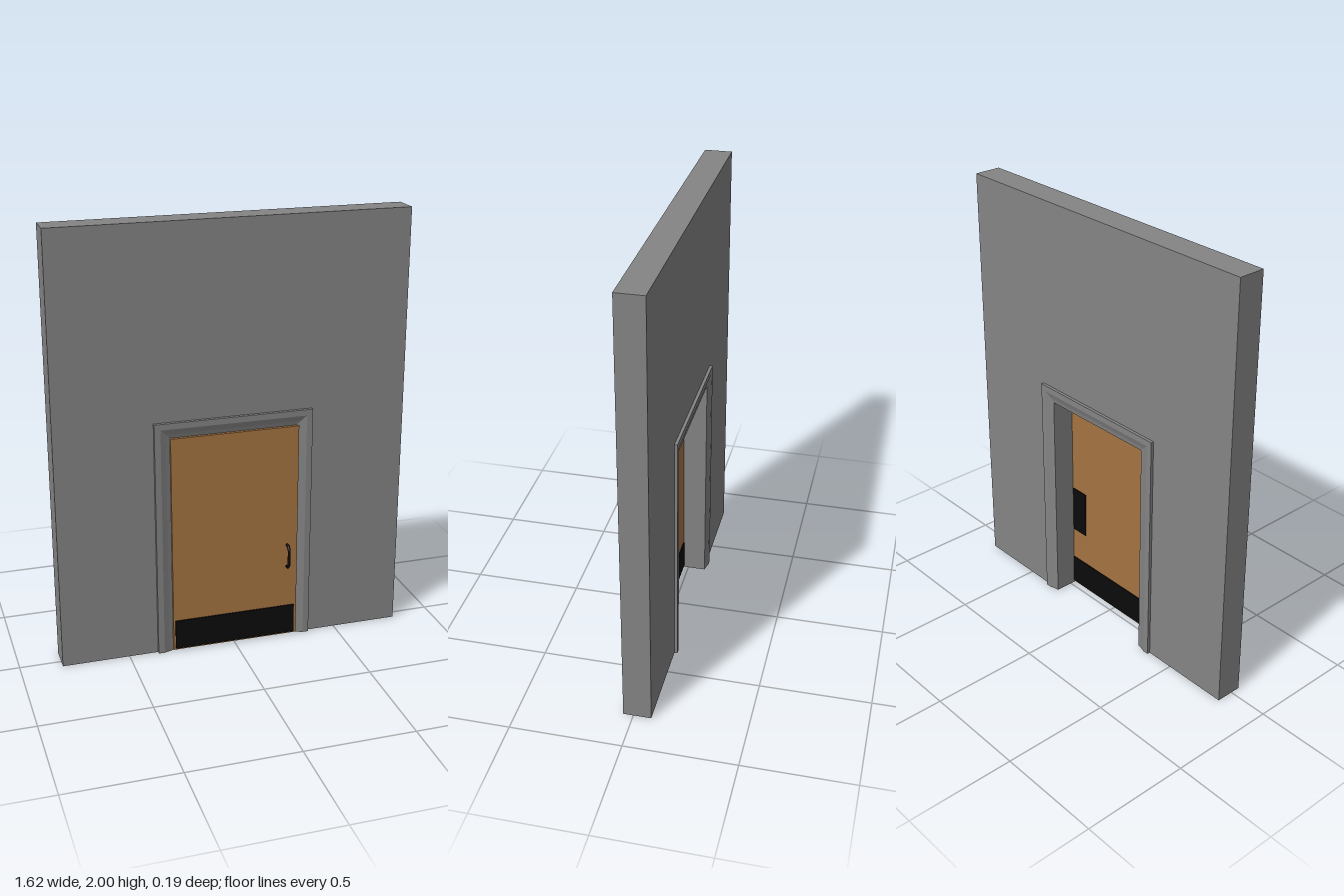
import * as THREE from 'three';

const paint = (name, color) => {
  const m = new THREE.MeshStandardMaterial({ color });
  m.name = name;
  return m;
};

export function createModel() {
  const root = new THREE.Group();
  root.name = 'doorInWall';
  const grey = paint('grey plaster', 0x848484);
  const wood = paint('brown wood', 0xa47341);
  const black = paint('black metal', 0x0b0b0b);

  const add = (name, geometry, material) => {
    const mesh = new THREE.Mesh(geometry, material);
    mesh.name = name;
    root.add(mesh);
    return mesh;
  };
  // Box given by its limits on each axis
  const slab = (name, x0, x1, y0, y1, z0, z1, material) =>
    add(name, new THREE.BoxGeometry(x1 - x0, y1 - y0, z1 - z0), material)
      .position.set((x0 + x1) / 2, (y0 + y1) / 2, (z0 + z1) / 2);

  // Opening half width and height
  const W = 0.293, H = 1.047;

  // Wall with a notch for the doorway, hidden behind the casing
  const outline = new THREE.Shape([
    [-0.81, 0], [-W - 0.01, 0], [-W - 0.01, H + 0.01], [W + 0.01, H + 0.01],
    [W + 0.01, 0], [0.81, 0], [0.81, 2], [-0.81, 2],
  ].map(([x, y]) => new THREE.Vector2(x, y)));
  const wall = new THREE.ExtrudeGeometry(outline, { depth: 0.125, bevelEnabled: false });
  wall.translate(0, 0, -0.08);
  add('wall', wall, grey);

  // Casing section: distance out from the opening, then z
  const section = [
    [0, -0.083], [0.02, -0.086], [0.045, -0.094], [0.073, -0.094],
    [0.073, 0.061], [0.045, 0.061], [0.02, 0.052], [0, 0.046],
  ];
  const extrude = (points) => new THREE.ExtrudeGeometry(
    new THREE.Shape(points.map(([a, b]) => new THREE.Vector2(a, b))),
    { depth: 1, bevelEnabled: false });

  // Side jambs, mitred at the top
  for (const s of [-1, 1]) {
    const g = extrude(section.map(([u, z]) => [s * u, -z]));
    g.rotateX(-Math.PI / 2);
    const p = g.attributes.position;
    for (let i = 0; i < p.count; i++) {
      const u = Math.abs(p.getX(i));
      p.setXYZ(i, s * (W + u), p.getY(i) > 0.5 ? H + u : 0, p.getZ(i));
    }
    g.computeVertexNormals();
    add(s > 0 ? 'leftJamb' : 'rightJamb', g, grey);
  }

  // Head of the frame, mitred at both ends
  const head = extrude(section.map(([u, z]) => [-z, u]));
  head.rotateY(Math.PI / 2);
  const hp = head.attributes.position;
  for (let i = 0; i < hp.count; i++) {
    const u = hp.getY(i);
    hp.setXYZ(i, hp.getX(i) > 0.5 ? W + u : -W - u, H + u, hp.getZ(i));
  }
  head.computeVertexNormals();
  add('frameHead', head, grey);

  // Door leaf with kick plates and a push plate
  slab('door', -0.293, 0.303, 0.006, 1.046, 0.024, 0.058, wood);
  slab('frontKickPlate', -0.284, 0.29, 0.014, 0.155, 0.058, 0.065, black);
  slab('backKickPlate', -0.284, 0.29, 0.014, 0.155, 0.019, 0.024, black);
  slab('pushPlate', 0.2, 0.287, 0.32, 0.55, 0.019, 0.024, black);

  // Bow handle
  const bow = new THREE.CatmullRomCurve3([
    [0.356, 0.055], [0.359, 0.072], [0.376, 0.085], [0.413, 0.087],
    [0.45, 0.085], [0.463, 0.072], [0.466, 0.055],
  ].map(([y, z]) => new THREE.Vector3(0.255, y, z)));
  add('pullHandle', new THREE.TubeGeometry(bow, 32, 0.007, 10), black);

  return root;
}
